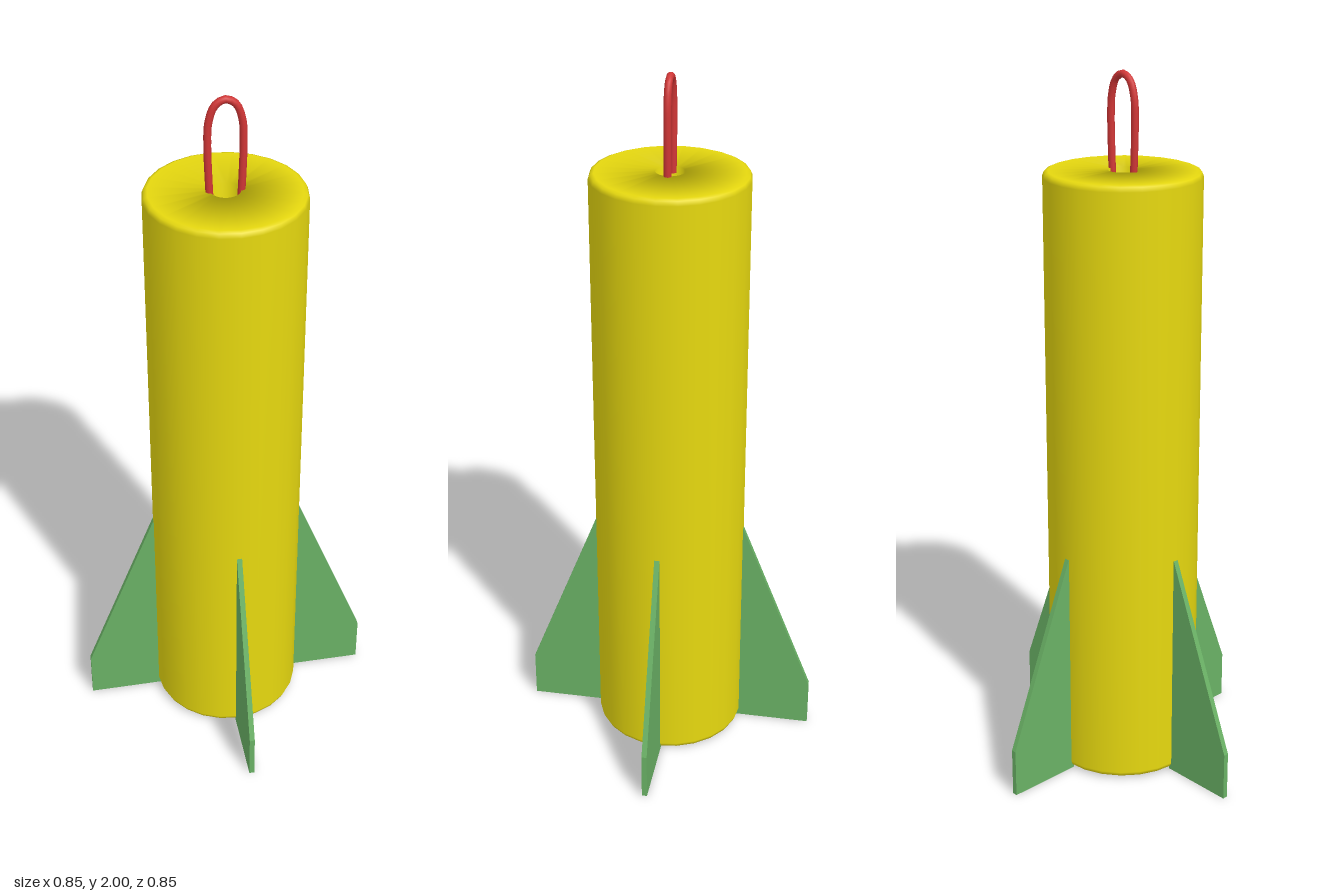
import * as THREE from 'three';

const material = (name, color) => {
  const m = new THREE.MeshStandardMaterial({ color });
  m.name = name;
  return m;
};

export function createModel() {
  const group = new THREE.Group();
  const yellow = material('yellow', 0xe6d80f);
  const green = material('green', 0x6ab165);
  const red = material('red', 0xd03636);

  const add = (name, geometry, mat) => {
    const mesh = new THREE.Mesh(geometry, mat);
    mesh.name = name;
    group.add(mesh);
    return mesh;
  };

  // Hollow tube body: the closed profile starts and ends midway up the bore
  const profile = [
    [0.04, 0.87], [0.04, 0.006], [0.2, 0.006], [0.21, 0.01], [0.215, 0.022],
    [0.215, 1.722], [0.21, 1.734], [0.2, 1.738], [0.04, 1.738], [0.04, 0.87],
  ].map(([r, y]) => new THREE.Vector2(r, y));
  add('body', new THREE.LatheGeometry(profile, 24), yellow);

  // Four flat fins around the base
  const thickness = 0.015;
  const outline = new THREE.Shape([
    [0.205, 0], [0.424, 0], [0.424, 0.14], [0.215, 0.67], [0.205, 0.67],
  ].map(([x, y]) => new THREE.Vector2(x, y)));
  const finGeometry = new THREE.ExtrudeGeometry(outline, { depth: thickness, bevelEnabled: false });
  finGeometry.translate(0, 0, -thickness / 2);
  ['left', 'back', 'right', 'front'].forEach((side, i) => {
    add(side + 'Fin', finGeometry, green).rotation.y = i * Math.PI / 2;
  });

  // Wire loop standing in the top opening
  const half = [[0.041, 1.72], [0.044, 1.79], [0.046, 1.87], [0.043, 1.93], [0.027, 1.975]];
  const path = [
    ...half.map(([x, y]) => [-x, y]), [0, 1.99], ...half.slice().reverse(),
  ].map(([x, y]) => new THREE.Vector3(x, y, 0));
  add('loop', new THREE.TubeGeometry(new THREE.CatmullRomCurve3(path), 40, 0.01, 10), red);

  return group;
}
